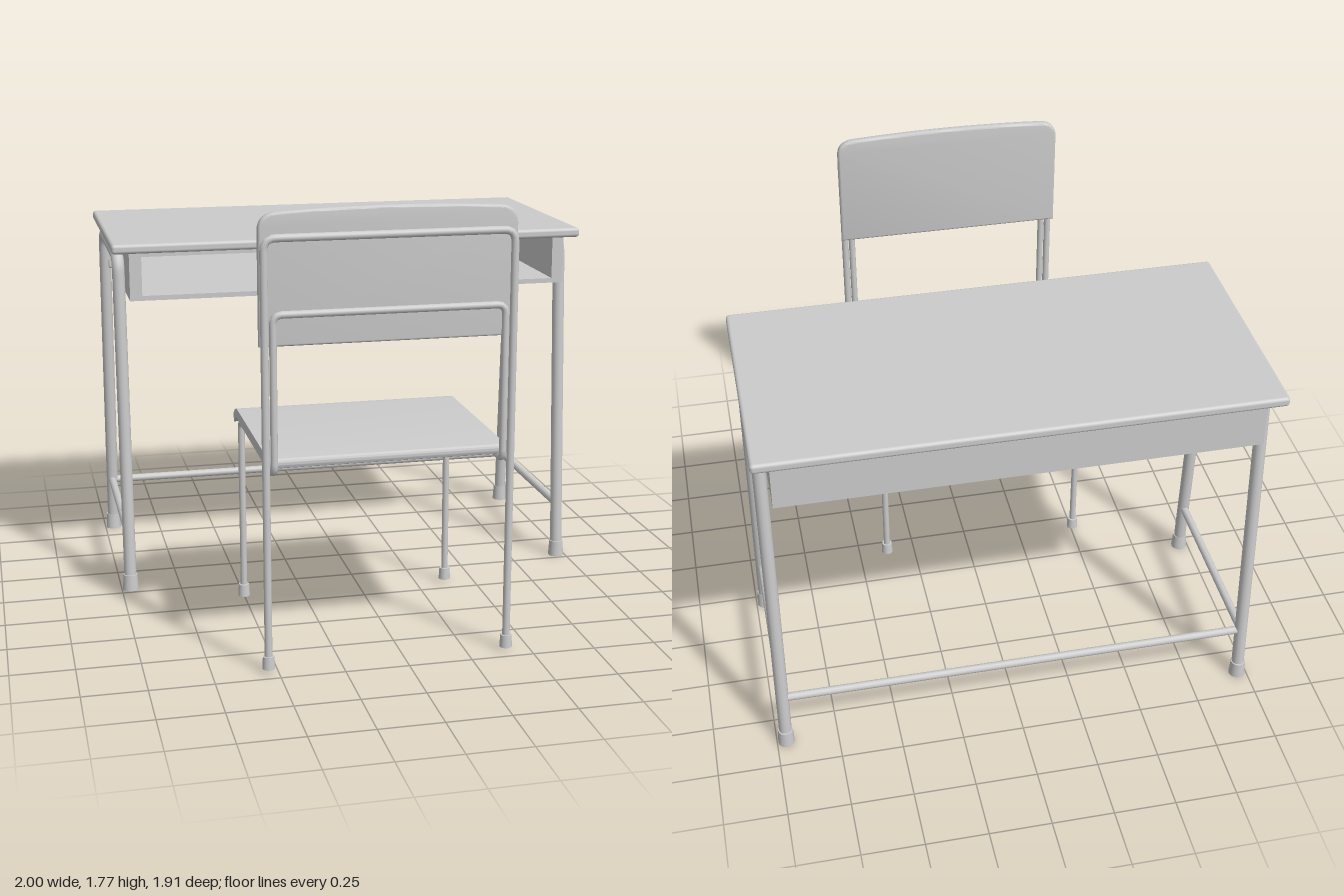
import * as THREE from 'three';
import { RoundedBoxGeometry } from 'three/addons/geometries/RoundedBoxGeometry.js';
import { toCreasedNormals } from 'three/addons/utils/BufferGeometryUtils.js';

const material = new THREE.MeshStandardMaterial({ color: 0xcccccc });
const V = (x, y, z) => new THREE.Vector3(x, y, z);

function add(parent, name, geometry, x = 0, y = 0, z = 0) {
  const mesh = new THREE.Mesh(geometry, material);
  mesh.name = name;
  mesh.position.set(x, y, z);
  parent.add(mesh);
  return mesh;
}

// Box given by its lower and upper limits on each axis
function addBox(parent, name, [x0, x1], [y0, y1], [z0, z1], round = 0) {
  const size = [x1 - x0, y1 - y0, z1 - z0];
  const geometry = round ? new RoundedBoxGeometry(...size, 3, round) : new THREE.BoxGeometry(...size);
  return add(parent, name, geometry, (x0 + x1) / 2, (y0 + y1) / 2, (z0 + z1) / 2);
}

// Bent steel tube through the points, with rounded corners
function bentTube(points, radius, bend, segments) {
  const path = new THREE.CurvePath();
  let from = points[0];
  for (let i = 1; i < points.length - 1; i++) {
    const corner = points[i];
    const a = corner.clone().add(points[i - 1].clone().sub(corner).setLength(bend));
    const b = corner.clone().add(points[i + 1].clone().sub(corner).setLength(bend));
    path.add(new THREE.LineCurve3(from, a));
    path.add(new THREE.QuadraticBezierCurve3(a, corner, b));
    from = b;
  }
  path.add(new THREE.LineCurve3(from, points[points.length - 1]));
  return new THREE.TubeGeometry(path, segments, radius, 12);
}

// Straight round bar between two points
function addBar(parent, name, a, b, radius) {
  const mesh = add(parent, name, new THREE.CylinderGeometry(radius, radius, a.distanceTo(b), 12));
  mesh.position.copy(a).lerp(b, 0.5);
  mesh.quaternion.setFromUnitVectors(V(0, 1, 0), b.clone().sub(a).normalize());
}

function addFoot(parent, name, x, y, z, radius, height) {
  const geometry = new THREE.CylinderGeometry(radius * 0.88, radius, height, 16);
  add(parent, name, geometry, x, y + height / 2, z);
}

function createDesk() {
  const desk = new THREE.Group();
  desk.name = 'desk';
  addBox(desk, 'deskTop', [-1, 1], [1.465, 1.505], [-0.95, 0.03], 0.014);

  // Storage tray, open towards the chair
  addBox(desk, 'trayBottom', [-0.93, 0.93], [1.27, 1.29], [-0.91, 0.02]);
  addBox(desk, 'trayBack', [-0.93, 0.93], [1.29, 1.468], [-0.91, -0.89]);

  for (const side of [-1, 1]) {
    const x = side * 0.962;
    addBox(desk, 'traySide', side < 0 ? [-0.93, -0.88] : [0.88, 0.93], [1.29, 1.468], [-0.89, 0.02]);

    // Splayed leg frame
    const frame = [V(x, 0.02, -0.043), V(x, 1.431, -0.128), V(x, 1.431, -0.788), V(x, 0.02, -0.873)];
    add(desk, 'legFrame', bentTube(frame, 0.026, 0.065, 160));
    for (const z of [-0.043, -0.873]) addFoot(desk, 'deskFoot', x, 0, z, 0.034, 0.068);
    addBar(desk, 'sideStretcher', V(x, 0.24, -0.06), V(x, 0.24, -0.857), 0.017);

    // Bag hook
    addBox(desk, 'hookPlate', side < 0 ? [-0.936, -0.929] : [0.929, 0.936], [1.36, 1.41], [-0.426, -0.4]);
    const hook = [V(side * 0.932, 1.395, -0.413), V(side * 0.945, 1.395, -0.413),
      V(side * 0.945, 1.338, -0.413), V(side * 0.972, 1.338, -0.413), V(side * 0.972, 1.365, -0.413)];
    add(desk, 'bagHook', bentTube(hook, 0.007, 0.006, 40));
  }
  addBar(desk, 'backStretcher', V(-0.962, 0.24, -0.859), V(0.962, 0.24, -0.859), 0.017);
  return desk;
}

function createChair() {
  const chair = new THREE.Group();
  chair.name = 'chair';
  chair.position.x = -0.065;

  // Seat: side profile (-z, y) with a curled front edge, extruded across the width
  const profile = new THREE.Shape();
  profile.moveTo(-0.91, 0.797);
  profile.lineTo(-0.2, 0.797);
  profile.quadraticCurveTo(-0.15, 0.795, -0.113, 0.762);
  profile.lineTo(-0.09, 0.786);
  profile.quadraticCurveTo(-0.135, 0.834, -0.2, 0.835);
  profile.lineTo(-0.905, 0.835);
  profile.quadraticCurveTo(-0.92, 0.835, -0.92, 0.816);
  profile.quadraticCurveTo(-0.92, 0.797, -0.91, 0.797);
  const seat = new THREE.ExtrudeGeometry(profile, { depth: 0.92, bevelEnabled: false, curveSegments: 10 });
  seat.translate(0, 0, -0.46);
  seat.rotateY(Math.PI / 2);
  add(chair, 'seat', toCreasedNormals(seat, 0.6));

  // Backrest panel with rounded upper corners and a slightly bowed top
  const bevel = 0.01, w = 0.488 - bevel, bottom = 1.26 + bevel, top = 1.753 - bevel;
  const panel = new THREE.Shape();
  panel.moveTo(-w, bottom);
  panel.lineTo(w, bottom);
  panel.lineTo(w, top - 0.06);
  panel.quadraticCurveTo(w, top - 0.005, w - 0.06, top);
  panel.quadraticCurveTo(0, top + 0.024, -w + 0.06, top);
  panel.quadraticCurveTo(-w, top - 0.005, -w, top - 0.06);
  const backrest = new THREE.ExtrudeGeometry(panel, {
    depth: 0.015, bevelSize: bevel, bevelThickness: bevel, bevelSegments: 3, curveSegments: 12,
  });
  add(chair, 'backrest', toCreasedNormals(backrest, 0.7), 0, 0, 0.895);

  // Rear hoop carrying the backrest
  const rear = [V(-0.471, 0.03, 0.935), V(-0.471, 1.662, 0.935), V(0.471, 1.662, 0.935), V(0.471, 0.03, 0.935)];
  add(chair, 'rearFrame', bentTube(rear, 0.015, 0.045, 200));

  // Front legs, seat rails and inner hoop bent from one tube
  const half = [V(0.44, 0.03, 0.172), V(0.44, 0.783, 0.172), V(0.44, 0.783, 0.935), V(0.44, 1.382, 0.935)];
  const mirrored = half.map((p) => V(-p.x, p.y, p.z)).reverse();
  add(chair, 'frontFrame', bentTube([...half, ...mirrored], 0.014, 0.035, 320));

  for (const side of [-1, 1]) {
    addFoot(chair, 'rearFoot', side * 0.471, 0.015, 0.935, 0.025, 0.05);
    addFoot(chair, 'frontFoot', side * 0.44, 0.015, 0.172, 0.025, 0.05);
  }
  return chair;
}

export function createModel() {
  const model = new THREE.Group();
  model.name = 'deskAndChair';
  model.add(createDesk(), createChair());
  return model;
}
